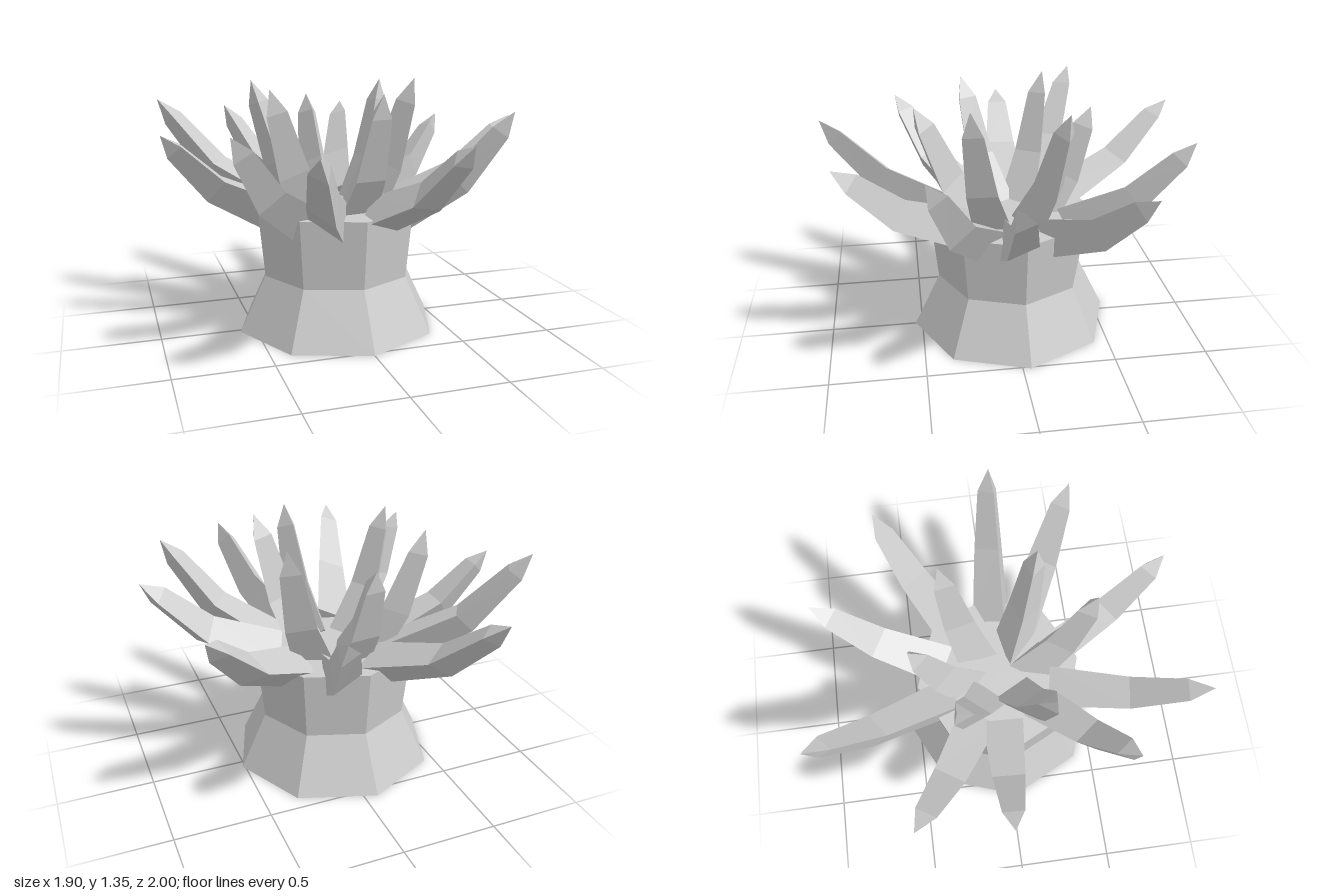
import * as THREE from 'three';

const DEG = Math.PI / 180;
const UP = new THREE.Vector3(0, 1, 0);
const CENTER = new THREE.Vector3(-0.03, 0, -0.01);

// Three-sided bent spike: rings along the path, closed by a point
function spikeGeometry(path, radii, twist) {
  const rings = radii.map((r, i) => {
    const dir = path[i + 1].clone().sub(path[i]).normalize();
    if (i > 0) dir.add(path[i].clone().sub(path[i - 1]).normalize()).normalize();
    const side = dir.clone().cross(UP).normalize();
    const top = side.clone().cross(dir);
    return [0, 1, 2].map((k) => {
      const a = (twist + k * 120) * DEG;
      return path[i].clone()
        .addScaledVector(top, r * Math.cos(a))
        .addScaledVector(side, r * Math.sin(a));
    });
  });
  const tip = path[path.length - 1];
  const pts = [];
  for (let k = 0; k < 3; k++) {
    const n = (k + 1) % 3;
    for (let i = 0; i < rings.length - 1; i++) {
      const [a, b, c, d] = [rings[i][k], rings[i][n], rings[i + 1][n], rings[i + 1][k]];
      pts.push(a, b, c, a, c, d);
    }
    const last = rings[rings.length - 1];
    pts.push(last[k], last[n], tip);
  }
  pts.push(rings[0][2], rings[0][1], rings[0][0]);
  const g = new THREE.BufferGeometry().setFromPoints(pts);
  g.computeVertexNormals();
  return g;
}

// Spike from the crown out to a tip, rising more steeply after the bend
function makeSpike(name, [x, y, z, twist], base, bend, material) {
  const tip = new THREE.Vector3(x, y, z);
  const flat = new THREE.Vector3(x - CENTER.x, 0, z - CENTER.z);
  const reach = flat.length();
  flat.normalize();
  const at = (r, h) => CENTER.clone().addScaledVector(flat, r).setY(h);
  const root = at(base.r, base.y);
  const knee = at(base.r + (reach - base.r) * bend.r, base.y + (y - base.y) * bend.y);
  const shoulder = knee.clone().lerp(tip, 0.73);
  const mesh = new THREE.Mesh(
    spikeGeometry([root, knee, shoulder, tip], [0.125, 0.096, 0.063], twist), material);
  mesh.name = name;
  return mesh;
}

export function createModel() {
  const model = new THREE.Group();
  model.name = 'spikyCrystalPlant';
  const grey = new THREE.MeshStandardMaterial({ color: 0xcccccc });
  grey.name = 'light grey';
  grey.flatShading = true;

  // Eight-sided flared stump
  const profile = [[0, 0], [0.55, 0], [0.405, 0.3], [0.44, 0.665], [0, 0.665]]
    .map(([r, y]) => new THREE.Vector2(r, y));
  const stump = new THREE.Mesh(new THREE.LatheGeometry(profile, 8, 3.7 * DEG), grey);
  stump.name = 'stump';
  stump.position.set(-0.035, 0, -0.01);
  model.add(stump);

  // Outer ring: tip x, y, z and twist
  const outer = [
    [-0.47, 1.11, -1.0, -40], [0.27, 1.12, -0.92, 35], [0.79, 1.06, -0.57, 35],
    [0.95, 1.12, 0.07, 22], [0.76, 1.19, 0.47, 55], [0.33, 1.1, 0.9, -15],
    [-0.41, 1.1, 1.0, -32], [-0.7, 1.14, 0.58, 55], [-0.95, 1.07, -0.05, 60],
    [-0.92, 1.21, -0.5, 55],
  ];
  outer.forEach((s, i) => model.add(
    makeSpike('outerSpike' + (i + 1), s, { r: 0.31, y: 0.635 }, { r: 0.54, y: 0.36 }, grey)));

  // Inner ring: tip x, y, z and twist
  const inner = [
    [-0.44, 1.32, -0.25, 50], [-0.08, 1.22, -0.45, 0], [0.3, 1.31, -0.26, 30],
    [0.31, 1.35, 0.23, 20], [0.05, 1.3, 0.49, 0], [-0.44, 1.31, 0.21, 60],
  ];
  inner.forEach((s, i) => model.add(
    makeSpike('innerSpike' + (i + 1), s, { r: 0.17, y: 0.63 }, { r: 0.52, y: 0.37 }, grey)));

  return model;
}
